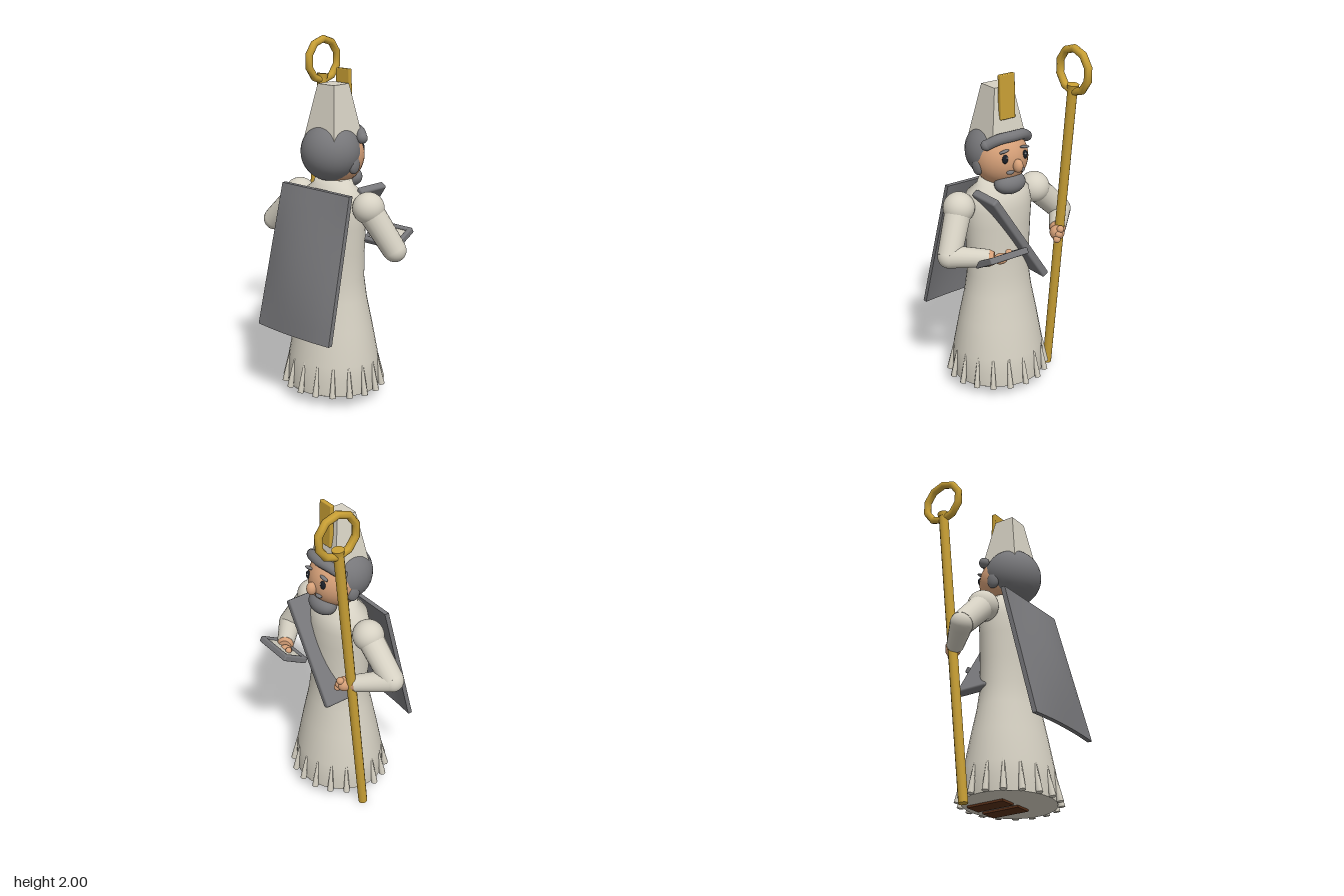
import * as THREE from 'three';
import { mergeVertices } from 'three/addons/utils/BufferGeometryUtils.js';
import { RoundedBoxGeometry } from 'three/addons/geometries/RoundedBoxGeometry.js';

const mat = (name, color, extra = {}) => {
  const m = new THREE.MeshStandardMaterial({ color, ...extra });
  m.name = name;
  return m;
};
const V = (x, y, z) => new THREE.Vector3(x, y, z);

export function createModel() {
  const root = new THREE.Group();
  root.name = 'robedFigure';
  const cloth = mat('cloth', 0xd6d1c3);
  const grey = mat('grey', 0x77777a);
  const skin = mat('skin', 0xd6a078);
  const gold = mat('gold', 0xc9a035);
  const brown = mat('brown', 0x5a3018);
  const black = mat('black', 0x1a1f28);
  const white = mat('white', 0xf0f0f0);
  const C = 0.037; // z of the body's middle; the figure looks along +x

  const add = (name, geo, material, x = 0, y = 0, z = 0) => {
    const m = new THREE.Mesh(geo, material);
    m.name = name;
    m.position.set(x, y, z);
    root.add(m);
    return m;
  };
  const ball = (name, material, x, y, z, rx, ry = rx, rz = rx) => {
    const m = add(name, new THREE.SphereGeometry(1, 28, 20), material, x, y, z);
    m.scale.set(rx, ry, rz);
    return m;
  };
  // tapered rod from a to b
  const rod = (name, material, a, b, ra, rb, sides = 20) => {
    const d = b.clone().sub(a);
    const m = add(name, new THREE.CylinderGeometry(rb, ra, d.length(), sides), material);
    m.position.copy(a).addScaledVector(d, 0.5);
    m.quaternion.setFromUnitVectors(V(0, 1, 0), d.normalize());
    return m;
  };

  // robe: round profile flattened front to back towards the top
  const profile = [[0.268, 0.06], [0.272, 0.14], [0.268, 0.23], [0.235, 0.42], [0.203, 0.58], [0.188, 0.7],
    [0.192, 0.85], [0.2, 1.0], [0.207, 1.1], [0.19, 1.18], [0.13, 1.225], [0.115, 1.26], [0, 1.265]];
  let robe = new THREE.LatheGeometry(profile.map(p => new THREE.Vector2(...p)), 36);
  const rp = robe.attributes.position;
  for (let i = 0; i < rp.count; i++) rp.setX(i, rp.getX(i) * (0.95 - 0.2 * rp.getY(i)));
  robe.deleteAttribute('normal');
  robe.deleteAttribute('uv');
  robe = mergeVertices(robe);
  robe.computeVertexNormals();
  add('robe', robe, cloth, -0.022, 0, C);
  const base = add('robeBase', new THREE.CylinderGeometry(0.268, 0.268, 0.004, 36), cloth, -0.022, 0.062, C);
  base.scale.x = 0.94;

  // hem tassels
  for (let i = 0; i < 18; i++) {
    const a = i * Math.PI / 9, c = Math.cos(a), s = Math.sin(a);
    rod('tassel', cloth, V(-0.022 + 0.27 * c, 0.06, C + 0.29 * s),
      V(-0.022 + 0.236 * c, 0.235, C + 0.262 * s), 0.019, 0.006, 6);
  }
  for (const s of [-1, 1]) add('shoe', new THREE.BoxGeometry(0.23, 0.03, 0.1), brown, 0.055, 0.063, C + s * 0.07);

  // cape: a thick sheet leaning back and bulging in the middle
  const cape = new THREE.BoxGeometry(0.03, 1, 1, 1, 10, 10);
  const cp = cape.attributes.position;
  for (let i = 0; i < cp.count; i++) {
    const v = 0.5 - cp.getY(i), u = cp.getZ(i) * 2;
    const bulge = 0.05 * Math.sin(Math.PI * Math.min(1, v * 0.9)) * (1 - u * u);
    cp.setXYZ(i, -0.155 - 0.2 * v + cp.getX(i) * 0.9 - bulge, 1.215 - 0.785 * v,
      u > 0 ? C + u * (0.25 + 0.038 * v) : C + u * 0.256);
  }
  cape.computeVertexNormals();
  add('cape', cape, grey);

  // slanted slab across the chest
  const slab = add('chestSlab', new RoundedBoxGeometry(0.2, 0.64, 0.045, 2, 0.012), grey, 0.102, 0.948, 0.038);
  slab.rotation.x = 0.59;

  // arms
  const arm = (side, shoulder, elbow, wrist) => {
    ball(side + 'Shoulder', cloth, shoulder.x, shoulder.y, shoulder.z, 0.088);
    rod(side + 'UpperArm', cloth, shoulder, elbow, 0.074, 0.066);
    ball(side + 'Elbow', cloth, elbow.x, elbow.y, elbow.z, 0.064);
    rod(side + 'Forearm', cloth, elbow, wrist, 0.064, 0.048);
    const out = wrist.clone().sub(elbow).normalize();
    rod(side + 'Wrist', skin, wrist, wrist.clone().addScaledVector(out, 0.025), 0.046, 0.036);
  };
  arm('left', V(-0.025, 1.13, 0.297), V(0.055, 0.9, 0.42), V(0.2, 0.9, 0.255));
  arm('right', V(-0.025, 1.13, -0.223), V(-0.035, 0.94, -0.425), V(0.115, 0.905, -0.285));
  ball('leftHand', skin, 0.232, 0.895, 0.205, 0.034, 0.03, 0.042);
  ball('leftThumb', skin, 0.243, 0.925, 0.16, 0.018);
  ball('rightHand', skin, 0.155, 0.9, -0.25, 0.045, 0.042, 0.04);
  for (let i = 0; i < 3; i++) ball('rightFinger', skin, 0.185, 0.875 + i * 0.028, -0.225 - i * 0.012, 0.021);

  // tray: raised frame around a pale panel
  const tray = new THREE.Group();
  tray.name = 'tray';
  tray.position.set(0.245, 0.905, 0.208);
  tray.rotation.z = 0.5;
  root.add(tray);
  const panel = new THREE.Mesh(new THREE.BoxGeometry(0.15, 0.018, 0.22), cloth);
  panel.name = 'trayPanel';
  tray.add(panel);
  for (const s of [-1, 1]) {
    const long = new THREE.Mesh(new RoundedBoxGeometry(0.028, 0.036, 0.25, 2, 0.008), grey);
    long.position.x = s * 0.07;
    const short = new THREE.Mesh(new RoundedBoxGeometry(0.168, 0.036, 0.028, 2, 0.008), grey);
    short.position.z = s * 0.111;
    long.name = short.name = 'trayRim';
    tray.add(long, short);
  }

  // staff with a ring on top
  const zs = -0.283;
  rod('staff', gold, V(0.044, 0.002, zs), V(0.222, 1.77, zs), 0.026, 0.028, 12);
  rod('staffCap', gold, V(0.221, 1.755, zs), V(0.224, 1.78, zs), 0.03, 0.034, 12);
  add('staffRing', new THREE.TorusGeometry(0.119, 0.022, 8, 10), gold, 0.228, 1.858, zs).rotation.z = Math.PI / 10;

  // head
  ball('face', skin, 0, 1.385, C, 0.155, 0.16, 0.155);
  ball('hair', grey, -0.047, 1.41, C, 0.163, 0.163, 0.168);
  ball('beard', grey, 0.09, 1.252, C, 0.068, 0.062, 0.095);
  ball('nose', skin, 0.163, 1.37, C, 0.03, 0.038, 0.027);
  const curl = new THREE.CatmullRomCurve3([V(0.06, 1.485, C - 0.135), V(0.095, 1.515, C - 0.08),
    V(0.11, 1.522, C), V(0.095, 1.515, C + 0.08), V(0.06, 1.485, C + 0.135)]);
  add('hairRoll', new THREE.TubeGeometry(curl, 24, 0.03, 12), grey);
  for (const s of [-1, 1]) {
    ball('rollEnd', grey, 0.06, 1.485, C + s * 0.135, 0.03);
    ball('ear', grey, -0.012, 1.348, C + s * 0.142, 0.04, 0.05, 0.022);
    ball('eye', black, 0.136, 1.413, C + s * 0.066, 0.012, 0.025, 0.018);
    ball('eyeGlint', white, 0.147, 1.422, C + s * 0.062, 0.005);
    const brow = ball('brow', grey, 0.13, 1.455, C + s * 0.068, 0.012, 0.008, 0.032);
    brow.rotation.x = s * 0.15;
    ball('moustache', grey, 0.143, 1.335, C + s * 0.036, 0.014, 0.012, 0.024);
  }

  // tall four-sided hat with a gold plate
  const hat = new THREE.CylinderGeometry(0.06 * Math.SQRT2, 0.114 * Math.SQRT2, 0.3, 4, 1).toNonIndexed();
  hat.rotateY(Math.PI / 4);
  hat.computeVertexNormals();
  add('hat', hat, cloth, -0.026, 1.63, C);
  add('hatPlate', new RoundedBoxGeometry(0.026, 0.246, 0.098, 2, 0.006), gold, 0.06, 1.732, C).rotation.z = 0.03;

  return root;
}
